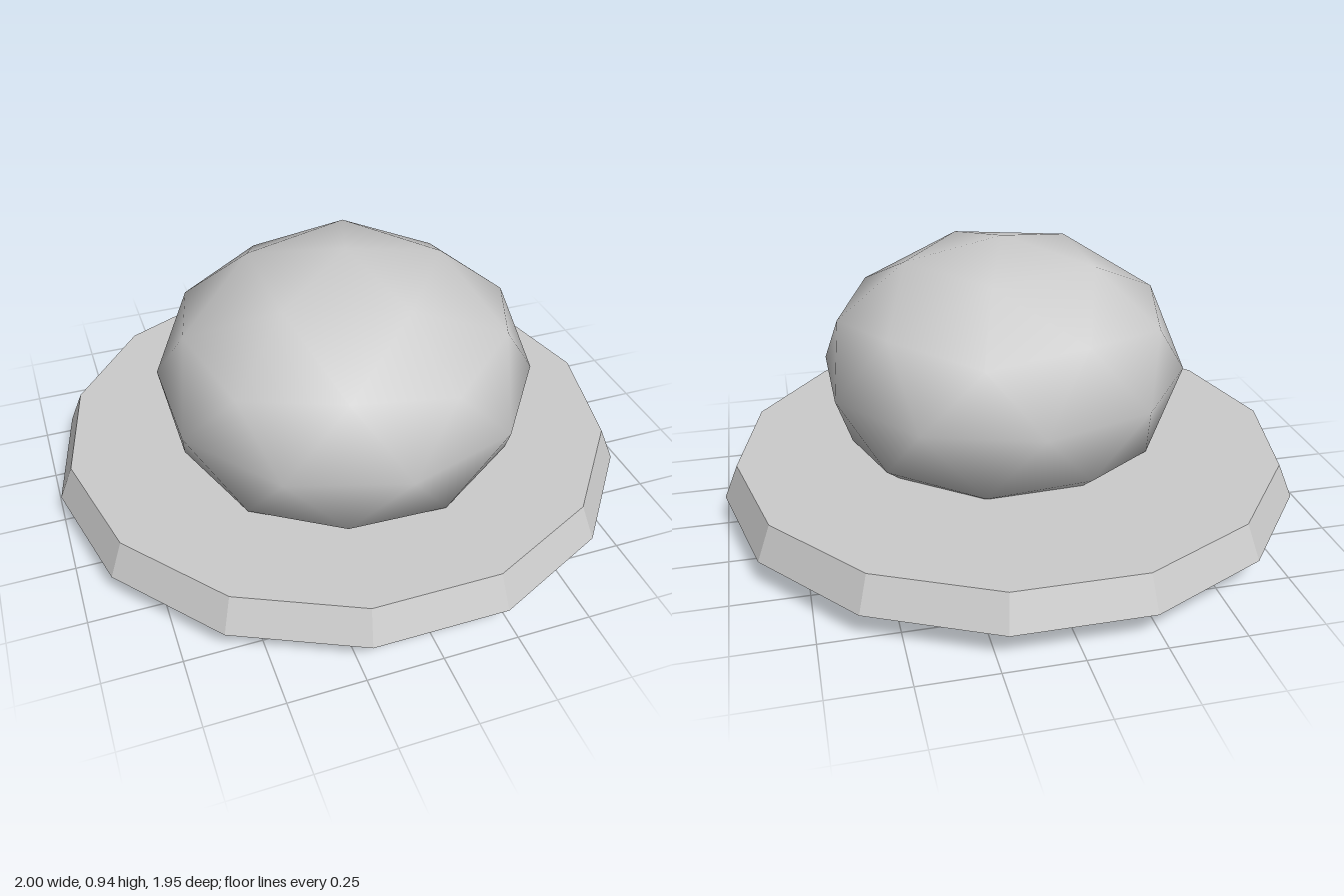
import * as THREE from 'three';

export function createModel() {
  const model = new THREE.Group();
  model.name = 'domeOnDisc';

  const grey = new THREE.MeshStandardMaterial({ color: 0xcccccc });
  grey.name = 'light grey';

  // Smooth low-poly dome: icosphere with one vertex pointing up, squashed in height
  const domeGeometry = new THREE.IcosahedronGeometry(1, 1);
  domeGeometry.rotateZ(-Math.atan(2 / (1 + Math.sqrt(5))));
  domeGeometry.scale(0.643, 0.472, 0.634);
  const dome = new THREE.Mesh(domeGeometry, grey);
  dome.name = 'dome';
  dome.position.set(0, 0.472, 0.093);
  model.add(dome);

  // Faceted 14-sided brim with sloping rim, corners on the x axis
  const brimGeometry = new THREE.CylinderGeometry(0.952, 1, 0.116, 14, 1, false, Math.PI / 2)
    .toNonIndexed();
  brimGeometry.computeVertexNormals();
  const brim = new THREE.Mesh(brimGeometry, grey);
  brim.name = 'brim';
  brim.position.y = 0.161;
  model.add(brim);

  return model;
}
